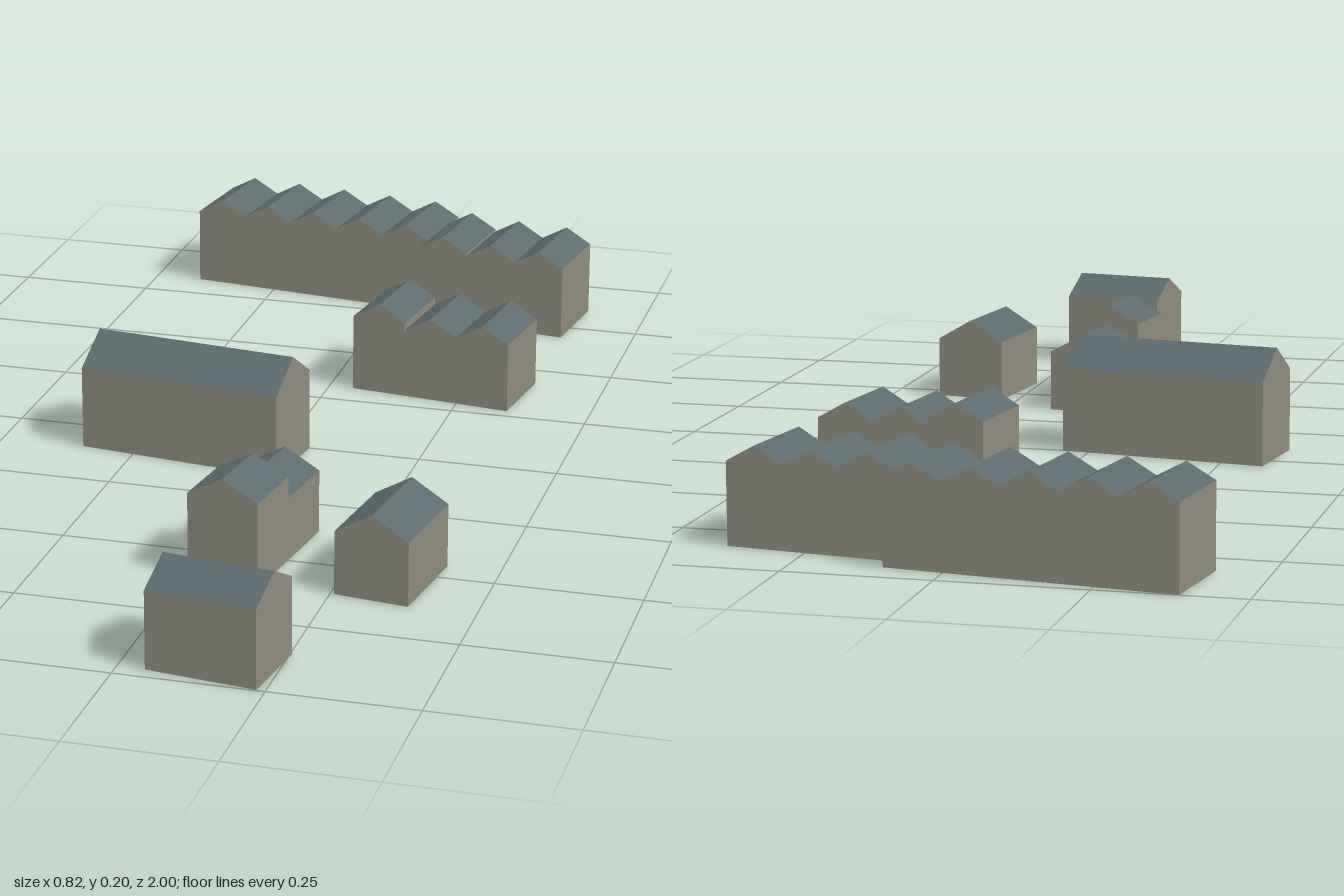
import * as THREE from 'three';

const TILT = -0.13; // shared street angle
const wallMat = new THREE.MeshStandardMaterial({ name: 'stone wall', color: 0x8e8c7e, side: THREE.DoubleSide });
const roofMat = new THREE.MeshStandardMaterial({ name: 'slate roof', color: 0x5c6a6d, side: THREE.DoubleSide });

// Flat faces from convex polygons, each fanned into triangles
function facesGeometry(polys) {
  const pos = [];
  for (const p of polys)
    for (let i = 1; i < p.length - 1; i++) pos.push(...p[0], ...p[i], ...p[i + 1]);
  const g = new THREE.BufferGeometry();
  g.setAttribute('position', new THREE.Float32BufferAttribute(pos, 3));
  g.computeVertexNormals();
  return g;
}

// Gabled house open underneath, with its ridge along local z
function house(name, width, depth, eave, ridge) {
  const w = width / 2, d = depth / 2;
  const outline = [[-w, 0], [w, 0], [w, eave], [0, ridge], [-w, eave]];
  const front = outline.map(([x, y]) => [x, y, d]);
  const back = outline.map(([x, y]) => [x, y, -d]);
  const strip = (i, j) => [front[i], back[i], back[j], front[j]];
  const walls = new THREE.Mesh(facesGeometry([front, [...back].reverse(), strip(1, 2), strip(4, 0)]), wallMat);
  const roof = new THREE.Mesh(facesGeometry([strip(2, 3), strip(3, 4)]), roofMat);
  walls.name = 'walls';
  roof.name = 'roof';
  const g = new THREE.Group();
  g.name = name;
  g.add(walls, roof);
  return g;
}

// Plot placed on the ground at the street angle
function plot(name, x, z) {
  const g = new THREE.Group();
  g.name = name;
  g.position.set(x, 0, z);
  g.rotation.y = TILT;
  return g;
}

// Terrace of equal houses side by side; heights = [eave, ridge] per house
function terrace(name, x, z, length, depth, heights) {
  const g = plot(name, x, z);
  const w = length / heights.length;
  heights.forEach(([eave, ridge], i) => {
    const h = house('terraceHouse' + (i + 1), w, depth, eave, ridge);
    h.position.x = -length / 2 + w * (i + 0.5);
    g.add(h);
  });
  return g;
}

// Single building with its ridge running along the street
function longHouse(name, x, z, length, depth, eave, ridge) {
  const g = plot(name, x, z);
  const h = house('house', depth, length, eave, ridge);
  h.rotation.y = Math.PI / 2;
  g.add(h);
  return g;
}

export function createModel() {
  const model = new THREE.Group();
  model.name = 'village';

  // Terraces at the back
  model.add(
    terrace('backLeftTerrace', -0.155, -0.885, 0.494, 0.167, Array(5).fill([0.145, 0.172])),
    terrace('backRightTerrace', 0.227, -0.793, 0.298, 0.166, [[0.145, 0.172], [0.14, 0.168], [0.14, 0.168]]),
    terrace('middleTerrace', 0.2075, -0.373, 0.306, 0.157, [[0.143, 0.172], [0.129, 0.158], [0.129, 0.158]])
  );

  // Long hall and front cottage
  model.add(
    longHouse('longHall', -0.15, 0.05, 0.378, 0.152, 0.15, 0.2),
    longHouse('frontCottage', 0.15, 0.915, 0.19, 0.142, 0.135, 0.172)
  );

  // Pair of cottages, tall one in front of a low one
  const pair = plot('cottagePair', 0.085, 0.4875);
  const tall = house('tallCottage', 0.126, 0.128, 0.15, 0.184);
  tall.position.z = 0.067;
  const low = house('lowCottage', 0.126, 0.134, 0.112, 0.146);
  low.position.z = -0.064;
  pair.add(tall, low);
  model.add(pair);

  // Small cottage on the side
  model.add(terrace('sideCottage', 0.333, 0.532, 0.13, 0.18, [[0.112, 0.15]]));
  return model;
}
